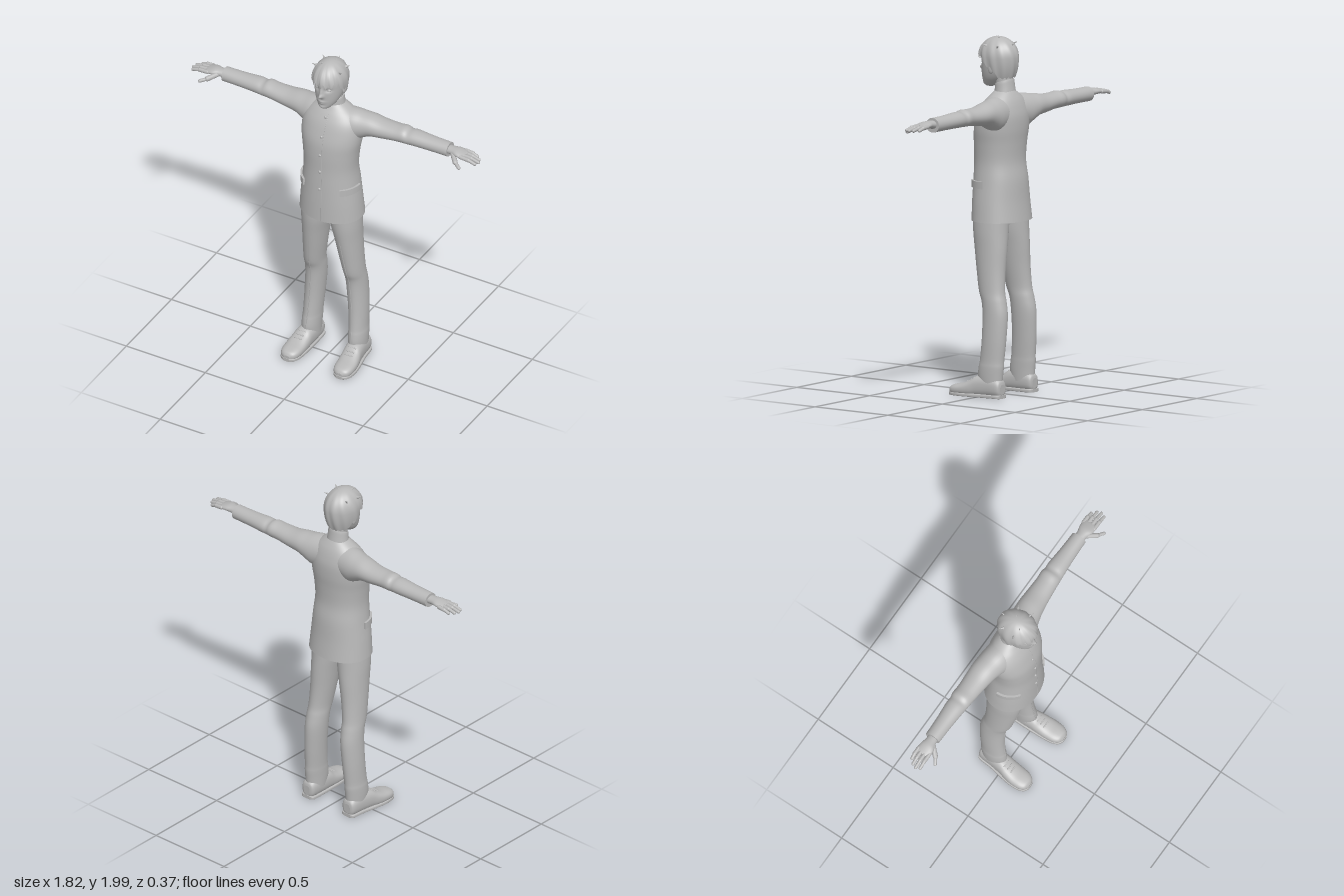
import * as THREE from 'three';
import { ParametricGeometry } from 'three/addons/geometries/ParametricGeometry.js';

const grey = new THREE.MeshStandardMaterial({ color: 0xb8b8b8, side: THREE.DoubleSide });
grey.name = 'plain grey';

const spline = (a, b, c, d, t) =>
  0.5 * (2 * b + (c - a) * t + (2 * a - 5 * b + 4 * c - d) * t * t + (3 * b - a - 3 * c + d) * t ** 3);

// Smooth skin through rings [t, centreA, centreB, radiusA, radiusB].
// Axis y: A = x, B = z.  Axis x: A = z, B = y.  Axis z: A = y, B = x.
function loft(keys, { axis = 'y', n = 32, steps = 5, exp = 2, caps = true, minY = -9 } = {}) {
  const rings = [];
  const at = (i) => keys[Math.min(Math.max(i, 0), keys.length - 1)];
  for (let i = 0; i < keys.length - 1; i++)
    for (let s = 0; s < steps; s++)
      rings.push(keys[0].map((_, k) => spline(at(i - 1)[k], at(i)[k], at(i + 1)[k], at(i + 2)[k], s / steps)));
  rings.push(at(keys.length));
  const pos = [], idx = [];
  const put = (t, a, b) => {
    const p = axis === 'y' ? [a, t, b] : axis === 'x' ? [t, b, a] : [b, a, t];
    p[1] = Math.max(p[1], minY);
    pos.push(...p);
  };
  const pow = (v) => Math.sign(v) * Math.abs(v) ** (2 / exp);
  const ring = ([t, ca, cb, ra, rb]) => {
    for (let j = 0; j < n; j++) {
      const q = (j / n) * Math.PI * 2;
      put(t, ca + ra * pow(Math.cos(q)), cb + rb * pow(Math.sin(q)));
    }
  };
  rings.forEach(ring);
  for (let i = 0; i < rings.length - 1; i++)
    for (let j = 0; j < n; j++) {
      const a = i * n + j, b = i * n + (j + 1) % n;
      idx.push(a, a + n, b, b, a + n, b + n);
    }
  if (caps) [rings[0], rings[rings.length - 1]].forEach((r, end) => {
    const base = pos.length / 3;
    ring(r);
    put(r[0], r[1], r[2]);
    for (let j = 0; j < n; j++) {
      const a = base + j, b = base + (j + 1) % n;
      idx.push(base + n, end ? b : a, end ? a : b);
    }
  });
  const g = new THREE.BufferGeometry();
  g.setAttribute('position', new THREE.Float32BufferAttribute(pos, 3));
  g.setIndex(idx);
  g.computeVertexNormals();
  return g;
}

// Move every vertex by a rule
function reshape(g, rule) {
  const p = g.attributes.position, v = new THREE.Vector3();
  for (let i = 0; i < p.count; i++) {
    rule(v.fromBufferAttribute(p, i));
    p.setXYZ(i, v.x, v.y, v.z);
  }
  g.computeVertexNormals();
  return g;
}

// Rounded rod between two points
function rod(a, b, r) {
  const A = new THREE.Vector3(...a), B = new THREE.Vector3(...b), d = B.clone().sub(A);
  const g = new THREE.CapsuleGeometry(r, d.length(), 6, 12);
  g.applyQuaternion(new THREE.Quaternion().setFromUnitVectors(new THREE.Vector3(0, 1, 0), d.normalize()));
  return g.translate(...A.add(B).multiplyScalar(0.5).toArray());
}

function mirrorX(g) {
  const m = g.clone().scale(-1, 1, 1), ix = m.index.array;
  for (let i = 0; i < ix.length; i += 3) [ix[i], ix[i + 1]] = [ix[i + 1], ix[i]];
  m.computeVertexNormals();
  return m;
}

const ball = (x, y, z, rx, ry, rz) => new THREE.SphereGeometry(1, 16, 12).scale(rx, ry, rz).translate(x, y, z);
const bump = (v, x, y, sx, sy) => Math.exp(-(((v.x - x) / sx) ** 2) - ((v.y - y) / sy) ** 2);

export function createModel() {
  const model = new THREE.Group();
  const add = (name, g) => {
    const m = new THREE.Mesh(g, grey);
    m.name = name;
    model.add(m);
  };
  const pair = (name, g) => { add(name + 'Left', g); add(name + 'Right', mirrorX(g)); };

  // Coat body, with a hollow hem
  add('coat', loft([
    [0.972, 0, -0.035, 0.186, 0.149], [1.08, 0, -0.03, 0.177, 0.143], [1.2, 0, -0.028, 0.164, 0.138],
    [1.3, 0, -0.023, 0.156, 0.129], [1.4, 0, -0.025, 0.164, 0.13], [1.48, 0, -0.032, 0.176, 0.13],
    [1.55, 0, -0.042, 0.178, 0.12], [1.6, 0, -0.047, 0.165, 0.105], [1.64, 0, -0.052, 0.135, 0.086],
    [1.67, 0, -0.055, 0.095, 0.066], [1.695, 0, -0.055, 0.055, 0.048],
  ], { n: 48, exp: 2.15, caps: false }));
  add('coatLining', loft([[1.03, 0, -0.033, 0.172, 0.136], [0.972, 0, -0.035, 0.186, 0.149]],
    { n: 48, exp: 2.15, steps: 2 }));
  add('coatOpening', new THREE.TubeGeometry(new THREE.CatmullRomCurve3(
    [[0.975, 0.113], [1.08, 0.112], [1.2, 0.109], [1.3, 0.105], [1.4, 0.104], [1.48, 0.097], [1.55, 0.077],
      [1.6, 0.057], [1.65, 0.026]].map(([y, z]) => new THREE.Vector3(0.012, y, z))), 40, 0.002, 6));
  [[1.185, 0.111], [1.3, 0.107], [1.41, 0.105], [1.525, 0.088], [1.63, 0.041]].forEach(([y, z]) =>
    add('button', ball(0, y, z, 0.009, 0.009, 0.006)));

  // Pocket flaps wrapped round the hips
  pair('pocketFlap', reshape(new THREE.BoxGeometry(1, 0.04, 0.012, 14, 1, 1), (v) => {
    const q = 0.42 - v.x * 0.9, r = v.z + 0.004;
    v.set((0.17 + r) * Math.cos(q), v.y + 1.178, -0.028 + (0.142 + r) * Math.sin(q));
  }));

  // Standing collar and neck
  add('neck', loft([[1.65, 0, -0.055, 0.05, 0.045], [1.72, 0, -0.05, 0.047, 0.044], [1.8, 0, -0.045, 0.05, 0.05]]));
  add('collar', reshape(loft([[1.672, 0, -0.055, 0.066, 0.058], [1.705, 0, -0.055, 0.061, 0.053],
    [1.738, 0, -0.054, 0.058, 0.05], [1.739, 0, -0.054, 0.053, 0.045], [1.7, 0, -0.054, 0.052, 0.044]],
  { caps: false, steps: 2 }), (v) => {
    v.y -= (v.z + 0.055) * 0.35 + 0.018 * Math.exp(-((v.x / 0.014) ** 2)) * (v.z > -0.05 ? 1 : 0);
  }));

  // Sleeves with soft folds at the elbow
  pair('sleeve', loft([
    [0.06, -0.06, 1.572, 0.085, 0.094], [0.13, -0.068, 1.568, 0.086, 0.095], [0.18, -0.076, 1.576, 0.08, 0.079],
    [0.23, -0.082, 1.585, 0.074, 0.064], [0.3, -0.086, 1.584, 0.067, 0.053], [0.38, -0.088, 1.588, 0.061, 0.047],
    [0.43, -0.091, 1.591, 0.06, 0.048], [0.46, -0.09, 1.587, 0.056, 0.043], [0.5, -0.092, 1.589, 0.055, 0.044],
    [0.6, -0.092, 1.587, 0.048, 0.041], [0.712, -0.092, 1.586, 0.044, 0.041],
  ], { axis: 'x' }));

  // Hands, palms down
  pair('palm', loft([[0.69, -0.09, 1.588, 0.03, 0.025], [0.735, -0.088, 1.592, 0.032, 0.022],
    [0.77, -0.086, 1.594, 0.042, 0.019], [0.805, -0.086, 1.59, 0.044, 0.014], [0.822, -0.086, 1.587, 0.04, 0.01]],
  { axis: 'x', n: 20 }));
  [[-0.122, 0.87], [-0.099, 0.893], [-0.075, 0.902], [-0.052, 0.892]].forEach(([z, tip]) => {
    const mid = (0.81 + tip) / 2;
    pair('finger', rod([0.8, 1.59, z], [mid, 1.587, z], 0.0115));
    pair('fingerTip', rod([mid, 1.587, z], [tip, 1.577, z + 0.002], 0.0095));
  });
  pair('thumbBase', rod([0.745, 1.587, -0.065], [0.785, 1.568, -0.022], 0.0145));
  pair('thumb', rod([0.785, 1.568, -0.022], [0.82, 1.555, 0], 0.01));

  // Trouser legs with a front crease
  const leg = [
    [0.06, 0.147, -0.068, 0.047, 0.072], [0.12, 0.147, -0.067, 0.05, 0.078], [0.17, 0.146, -0.072, 0.051, 0.078],
    [0.21, 0.144, -0.076, 0.05, 0.075], [0.32, 0.139, -0.085, 0.053, 0.075], [0.45, 0.131, -0.087, 0.056, 0.077],
    [0.53, 0.127, -0.077, 0.057, 0.075], [0.59, 0.124, -0.06, 0.057, 0.08], [0.7, 0.114, -0.047, 0.064, 0.088],
    [0.82, 0.103, -0.038, 0.073, 0.099], [0.92, 0.093, -0.03, 0.083, 0.106], [1.03, 0.085, -0.027, 0.086, 0.11],
  ];
  pair('trouserLeg', loft(leg));
  pair('trouserCrease', new THREE.TubeGeometry(new THREE.CatmullRomCurve3(
    leg.slice(1, 10).map(([y, x, z, , r]) => new THREE.Vector3(x - 0.005, y, z + r - 0.001))), 40, 0.003, 6));

  // Shoes
  pair('shoe', loft([
    [-0.15, 0.05, 0.148, 0.028, 0.022], [-0.135, 0.055, 0.148, 0.05, 0.042], [-0.06, 0.062, 0.15, 0.062, 0.049],
    [0.005, 0.058, 0.155, 0.06, 0.053], [0.045, 0.046, 0.16, 0.048, 0.057], [0.09, 0.037, 0.164, 0.037, 0.059],
    [0.14, 0.032, 0.166, 0.031, 0.055], [0.17, 0.028, 0.167, 0.025, 0.041], [0.184, 0.024, 0.167, 0.012, 0.018],
  ], { axis: 'z', exp: 2.4, minY: 0.004 }));
  pair('sole', loft([
    [-0.152, 0.01, 0.148, 0.01, 0.024], [-0.137, 0.01, 0.148, 0.01, 0.044], [-0.06, 0.01, 0.15, 0.01, 0.05],
    [0.03, 0.01, 0.159, 0.01, 0.058], [0.09, 0.01, 0.164, 0.01, 0.061], [0.14, 0.01, 0.166, 0.01, 0.056],
    [0.172, 0.01, 0.167, 0.01, 0.042], [0.187, 0.01, 0.167, 0.01, 0.018],
  ], { axis: 'z', exp: 6, minY: 0 }));
  [[0.022, 0.108], [0.044, 0.095], [0.066, 0.084]].forEach(([z, y]) =>
    pair('lace', rod([0.14, y - 0.002, z], [0.18, y - 0.002, z], 0.004)));

  // Head with nose, eye hollows, lips and chin pushed out of the face
  add('head', reshape(loft([
    [1.708, 0, 0.045, 0.018, 0.022], [1.722, 0, 0.036, 0.038, 0.044], [1.75, 0, 0.015, 0.06, 0.07],
    [1.79, 0, -0.002, 0.075, 0.09], [1.84, 0, -0.011, 0.083, 0.1], [1.89, 0, -0.014, 0.085, 0.102],
    [1.93, 0, -0.014, 0.076, 0.092], [1.965, 0, -0.014, 0.045, 0.055],
  ], { n: 96, steps: 10 }), (v) => {
    if (v.z < 0.03) return;
    v.z += 0.024 * bump(v, 0, 1.806, 0.013, 0.013) + 0.012 * bump(v, 0, 1.83, 0.01, 0.022)
      + 0.006 * bump(v, 0, 1.766, 0.022, 0.007) + 0.005 * bump(v, 0, 1.753, 0.018, 0.006)
      + 0.006 * bump(v, 0, 1.727, 0.02, 0.012)
      - 0.01 * (bump(v, 0.035, 1.845, 0.018, 0.012) + bump(v, -0.035, 1.845, 0.018, 0.012));
  }));
  pair('eye', ball(0.034, 1.845, 0.066, 0.015, 0.009, 0.01));
  pair('ear', ball(0.083, 1.82, -0.02, 0.01, 0.032, 0.019));

  // Hair cap: jagged fringe in front, down to the nape behind
  add('hair', new ParametricGeometry((u, v, out) => {
    const q = u * Math.PI * 2, front = Math.cos(q);
    const jag = Math.abs(((u * 22 + 0.3) % 1) - 0.5) * 2;
    const f = THREE.MathUtils.smoothstep(front, 0.05, 0.6), b = THREE.MathUtils.smoothstep(-front, 0, 0.6);
    const edge = 1.82 + 0.042 * f - 0.062 * b + jag * (0.012 + 0.024 * f);
    const y = edge + (1.988 - edge) * Math.sin(v * Math.PI / 2);
    const up = (y - 1.875) / 0.113;
    const r = up > 0 ? Math.sqrt(Math.max(0, 1 - up * up)) : 1 - 0.2 * up * up;
    const tuft = 1 + 0.025 * Math.sin(q * 11 + v * 5) * (1 - v);
    out.set(0.098 * r * tuft * Math.sin(q), y, -0.013 + 0.119 * r * tuft * Math.cos(q));
  }, 132, 24));

  // Loose tufts standing off the crown
  [[0.08, 1.945, 0.02, 1], [-0.082, 1.945, 0.015, 1], [0.075, 1.94, -0.06, 1], [-0.07, 1.945, -0.065, 1],
    [0.02, 1.978, -0.03, 0.8], [-0.03, 1.975, 0.02, 0.8], [0, 1.945, -0.1, 0.9]].forEach(([x, y, z, s]) => {
    const g = new THREE.ConeGeometry(0.014 * s, 0.045 * s, 8).scale(1, 1, 0.6);
    const dir = new THREE.Vector3(x, 0.035, z + 0.015).normalize();
    g.applyQuaternion(new THREE.Quaternion().setFromUnitVectors(new THREE.Vector3(0, 1, 0), dir));
    add('hairTuft', g.translate(x, y, z));
  });

  return model;
}
